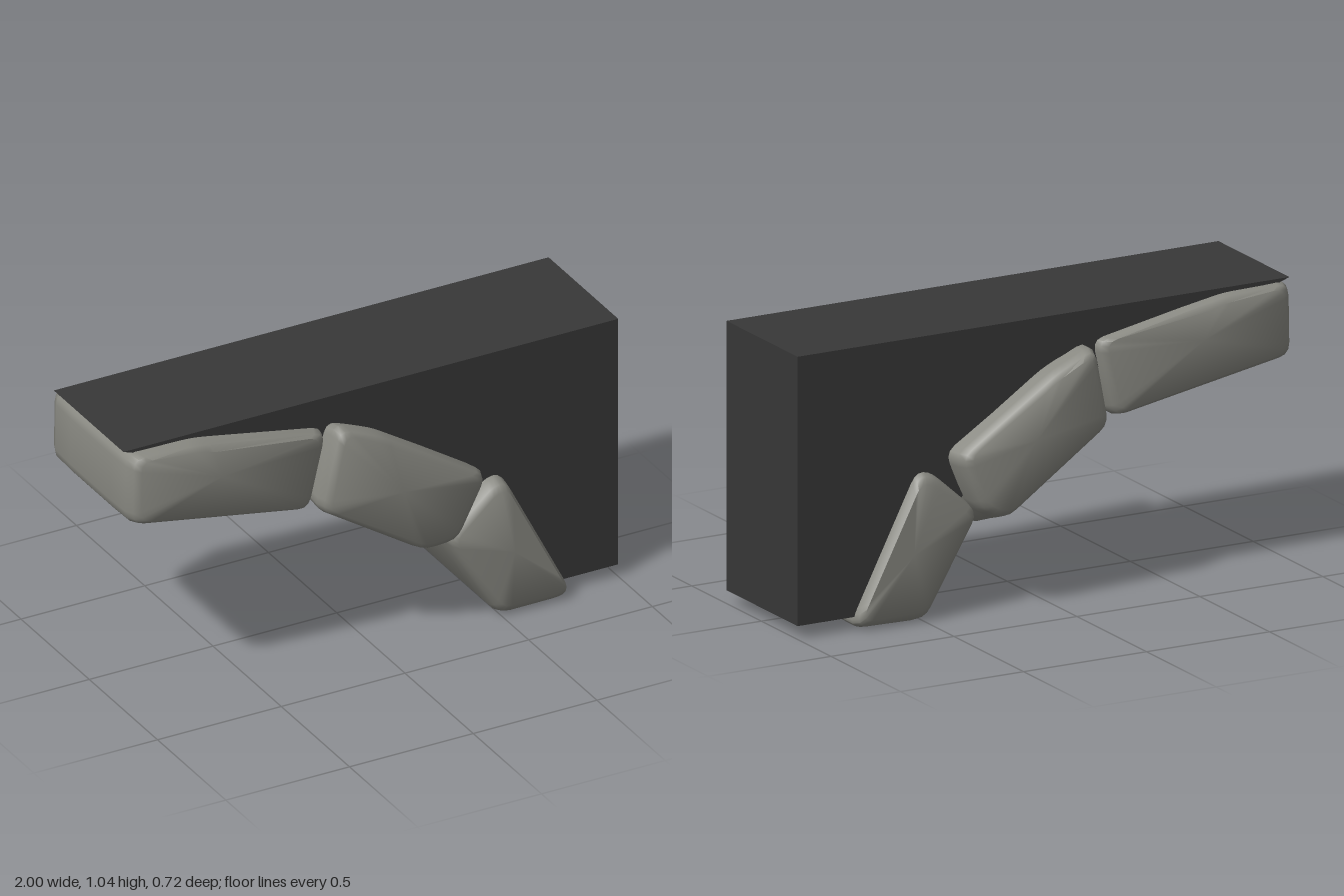
import * as THREE from 'three';
import { toCreasedNormals } from 'three/addons/utils/BufferGeometryUtils.js';

// Round every corner of a polygon with a short curve
function roundCorners(points, r) {
  const out = [];
  const n = points.length;
  points.forEach(([x, y], i) => {
    const p = new THREE.Vector2(x, y);
    const ends = [points[(i + n - 1) % n], points[(i + 1) % n]].map(([ax, ay]) => {
      const d = new THREE.Vector2(ax - x, ay - y);
      return p.clone().add(d.setLength(Math.min(r, d.length() * 0.45)));
    });
    out.push(...new THREE.QuadraticBezierCurve(ends[0], p, ends[1]).getPoints(3));
  });
  return out;
}

// Soft-edged stone: outlines (counter-clockwise from the front) joined from back to front
function stoneGeometry(back, middle, front, zBack, zFront) {
  const loops = [
    [back, zBack, 0.04], [back, zBack + 0.015, 0.014], [back, zBack + 0.05, 0],
    [middle, zBack + 0.16, 0], [middle, zFront - 0.16, 0],
    [front, zFront - 0.05, 0], [front, zFront - 0.015, 0.014], [front, zFront, 0.04],
  ].map(([outline, z, inset]) => {
    const pts = roundCorners(outline, 0.045);
    const c = pts.reduce((s, p) => s.add(p), new THREE.Vector2()).divideScalar(pts.length);
    return pts.map((p) => {
      const d = c.clone().sub(p).setLength(inset);
      return new THREE.Vector3(p.x + d.x, p.y + d.y, z);
    });
  });
  const positions = [];
  const tri = (...v) => v.forEach((p) => positions.push(p.x, p.y, p.z));
  const n = loops[0].length;
  const centre = (loop) => loop.reduce((s, p) => s.add(p), new THREE.Vector3()).divideScalar(n);
  const first = loops[0], last = loops[loops.length - 1];
  const cBack = centre(first), cFront = centre(last);
  for (let i = 0; i < n; i++) {
    const j = (i + 1) % n;
    for (let k = 0; k < loops.length - 1; k++) {
      const a = loops[k], b = loops[k + 1];
      tri(a[i], a[j], b[j]);
      tri(a[i], b[j], b[i]);
    }
    tri(cBack, first[j], first[i]);
    tri(cFront, last[i], last[j]);
  }
  const g = new THREE.BufferGeometry();
  g.setAttribute('position', new THREE.Float32BufferAttribute(positions, 3));
  return toCreasedNormals(g, 0.85);
}

export function createModel() {
  const model = new THREE.Group();
  model.name = 'stoneArchHalf';
  const wallMaterial = new THREE.MeshStandardMaterial({ color: 0x383838 });
  wallMaterial.name = 'dark wall';
  const stoneMaterial = new THREE.MeshStandardMaterial({ color: 0x898982 });
  stoneMaterial.name = 'grey stone';

  // Wall block with the arch cut out of its lower corner
  const outline = [[-1, 1.045], [-0.9, 1.01], [-0.24, 0.84], [0.25, 0.52], [0.45, 0.3],
    [0.62, 0.05], [1, 0.05], [1, 1.045]];
  const wallShape = new THREE.Shape(outline.map(([x, y]) => new THREE.Vector2(x, y)));
  const wallGeometry = new THREE.ExtrudeGeometry(wallShape, { depth: 0.51, bevelEnabled: false });
  wallGeometry.translate(0, 0, -0.26);
  const wall = new THREE.Mesh(wallGeometry, wallMaterial);
  wall.name = 'wall';
  model.add(wall);

  // Arch stones, from the crown down to the springing
  const crown = [[-1, 0.765], [-0.265, 0.635], [-0.195, 0.93], [-0.72, 1.03], [-0.995, 1.035]];
  const crownInner = [[-1, 0.76], [-0.265, 0.635], [-0.195, 0.92], [-0.72, 1.015], [-0.995, 1.03]];
  const haunch = [[-0.26, 0.645], [0.17, 0.365], [0.31, 0.375], [0.43, 0.61], [0.0, 0.89], [-0.18, 0.965]];
  const haunchInner = [[-0.25, 0.645], [0.25, 0.295], [0.31, 0.385], [0.41, 0.6], [0.0, 0.86], [-0.18, 0.93]];
  const haunchBack = [[-0.23, 0.64], [0.2, 0.34], [0.3, 0.38], [0.39, 0.6], [0.0, 0.86], [-0.17, 0.935]];
  const foot = [[0.27, 0.375], [0.49, 0.0], [0.76, 0.005], [0.78, 0.04], [0.52, 0.55], [0.46, 0.545]];
  const stones = [
    ['crownStone', crown, crownInner, crown, -0.3, 0.31],
    ['haunchStone', haunchBack, haunchInner, haunch, -0.36, 0.355],
    ['footStone', foot, foot, foot, -0.3, 0.315],
  ];
  for (const [name, ...shape] of stones) {
    const stone = new THREE.Mesh(stoneGeometry(...shape), stoneMaterial);
    stone.name = name;
    model.add(stone);
  }
  return model;
}
